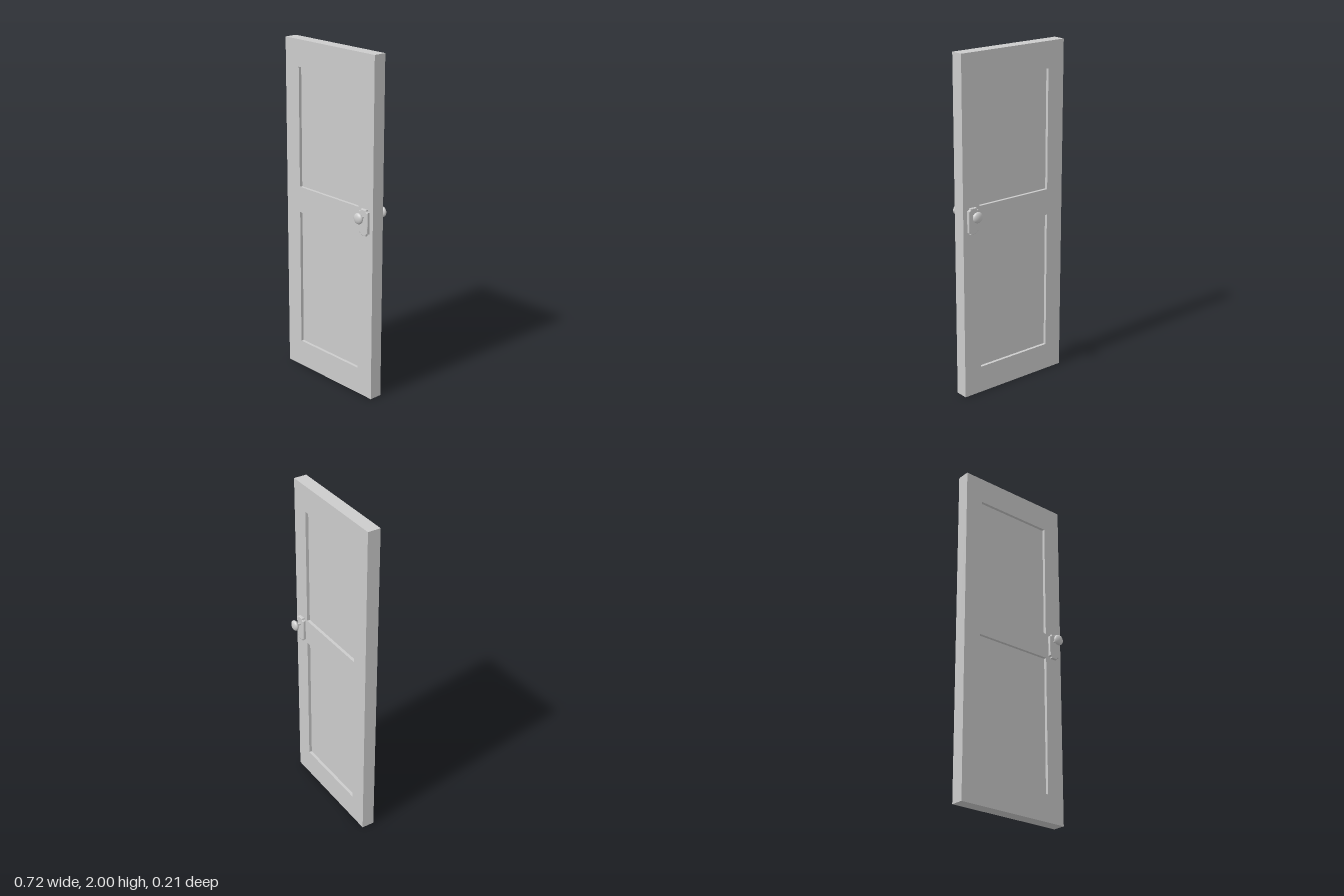
import * as THREE from 'three';

const mat = new THREE.MeshStandardMaterial({ color: 0xcccccc });
const FRONT = 0.034, BACK = -0.043, RECESS = 0.018;
const HANDLE_X = 0.298, KNOB_Y = 1.097;

function add(parent, name, geometry, x = 0, y = 0, z = 0) {
  const mesh = new THREE.Mesh(geometry, mat);
  mesh.name = name;
  mesh.position.set(x, y, z);
  parent.add(mesh);
  return mesh;
}

function rect(Type, x0, y0, x1, y1) {
  return new Type([[x0, y0], [x1, y0], [x1, y1], [x0, y1]].map(p => new THREE.Vector2(...p)));
}

// Backplate outline: a rectangle with scooped corners
function plateShape(w, h, r) {
  const s = new THREE.Shape();
  s.moveTo(-w + r, -h);
  s.lineTo(w - r, -h);
  s.absarc(w, -h, r, Math.PI, Math.PI / 2, true);
  s.lineTo(w, h - r);
  s.absarc(w, h, r, -Math.PI / 2, -Math.PI, true);
  s.lineTo(-w + r, h);
  s.absarc(-w, h, r, 0, -Math.PI / 2, true);
  s.lineTo(-w, -h + r);
  s.absarc(-w, -h, r, Math.PI / 2, 0, true);
  return s;
}

// One handle, built outward along +z from the door face
function makeHandle(name) {
  const handle = new THREE.Group();
  handle.name = name;
  const bevel = 0.004;
  const plate = new THREE.ExtrudeGeometry(plateShape(0.03, 0.072, 0.013), {
    depth: 0.012, bevelEnabled: true, bevelSize: bevel, bevelThickness: bevel,
    bevelSegments: 2, curveSegments: 6,
  });
  add(handle, 'backplate', plate, 0, 1.065, 0);
  const spindle = new THREE.CylinderGeometry(0.007, 0.007, 0.04, 20);
  spindle.rotateX(Math.PI / 2);
  add(handle, 'spindle', spindle, 0, KNOB_Y, 0.033);
  const knob = new THREE.SphereGeometry(0.032, 32, 20);
  knob.rotateX(Math.PI / 2);
  knob.scale(1, 1, 0.52);
  add(handle, 'knob', knob, 0, KNOB_Y, 0.0515);
  return handle;
}

export function createModel() {
  const door = new THREE.Group();
  door.name = 'door';

  // Frame with two openings, each filled by a recessed panel
  const openings = [[0.16, 0.985, 'lowerPanel'], [1.14, 1.845, 'upperPanel']];
  const outline = rect(THREE.Shape, -0.359, 0, 0.359, 2);
  const x0 = -0.248, x1 = 0.246;
  for (const [y0, y1, name] of openings) {
    outline.holes.push(rect(THREE.Path, x0, y0, x1, y1));
    const panel = new THREE.BoxGeometry(x1 - x0, y1 - y0, FRONT - BACK - 2 * RECESS);
    add(door, name, panel, (x0 + x1) / 2, (y0 + y1) / 2, (FRONT + BACK) / 2);
  }
  const frame = new THREE.ExtrudeGeometry(outline, { depth: FRONT - BACK, bevelEnabled: false });
  add(door, 'frame', frame, 0, 0, BACK);

  // Matching handles on both faces
  const front = makeHandle('frontHandle');
  front.position.set(HANDLE_X, 0, FRONT);
  const back = makeHandle('backHandle');
  back.position.set(HANDLE_X, 0, BACK);
  back.rotation.y = Math.PI;
  door.add(front, back);
  return door;
}
